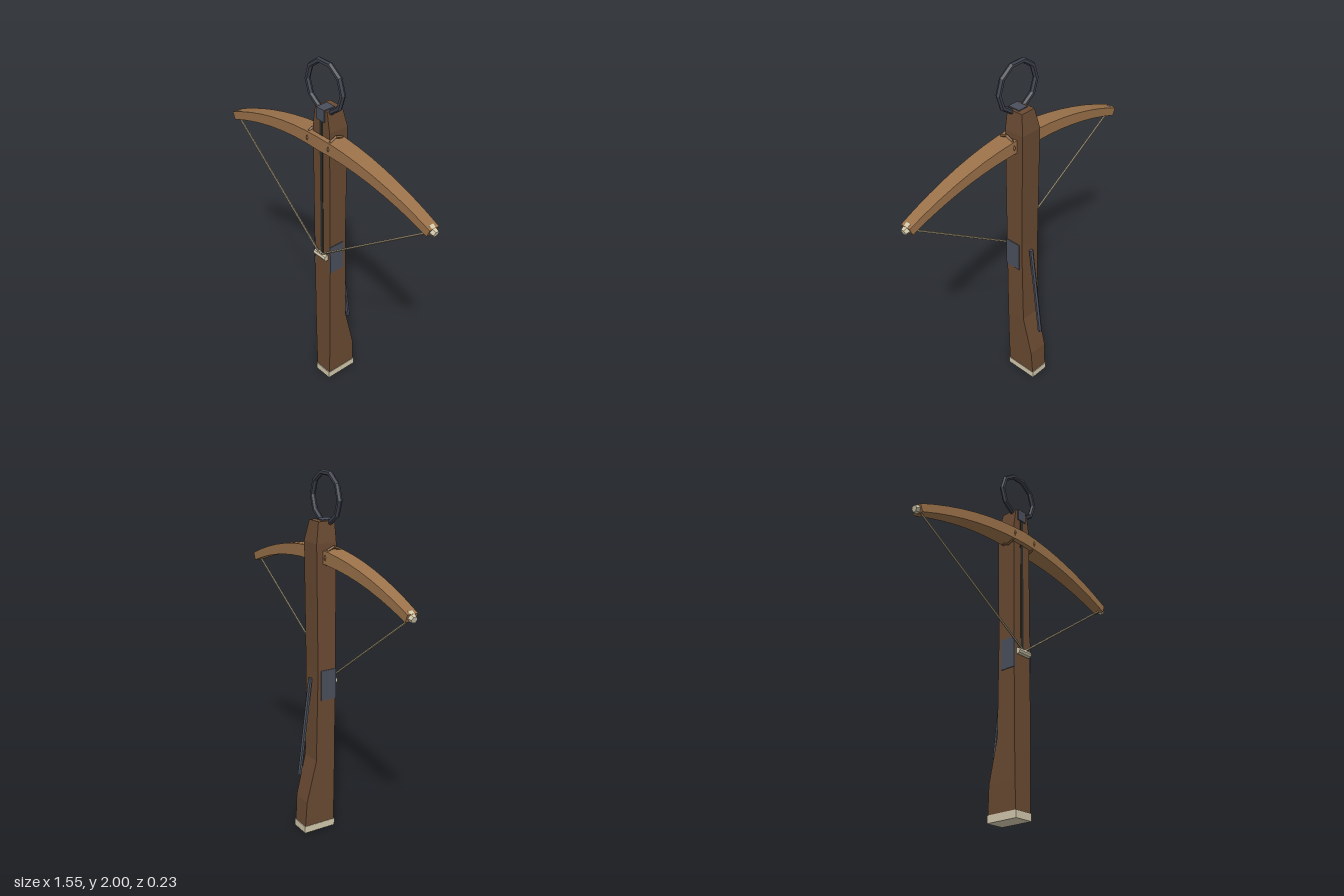
import * as THREE from 'three';

const material = (name, color) => {
  const m = new THREE.MeshStandardMaterial({ color, flatShading: true });
  m.name = name;
  return m;
};

// Skin a row of rectangular cross-sections; each section is four corners, counter-clockwise seen from its far end
function loft(sections) {
  const pos = sections.flat(2), index = [], n = sections.length;
  for (let i = 0; i < n - 1; i++) {
    for (let j = 0; j < 4; j++) {
      const a = i * 4 + j, b = i * 4 + (j + 1) % 4;
      index.push(a, b, b + 4, a, b + 4, a + 4);
    }
  }
  const e = (n - 1) * 4;
  index.push(0, 2, 1, 0, 3, 2, e, e + 1, e + 2, e, e + 2, e + 3);
  const g = new THREE.BufferGeometry();
  g.setAttribute('position', new THREE.Float32BufferAttribute(pos, 3));
  g.setIndex(index);
  const flat = g.toNonIndexed();
  flat.computeVertexNormals();
  return flat;
}

export function createModel() {
  const model = new THREE.Group();
  model.name = 'crossbow';
  const darkWood = material('dark wood', 0x694a32);
  const bowWood = material('bow wood', 0x9b724a);
  const leather = material('leather', 0x85603c);
  const iron = material('iron', 0x4a4f5c);
  const darkIron = material('dark iron', 0x3c404b);
  const bone = material('bone', 0xd2c8ac);
  const cord = material('cord', 0xa2967a);
  const shade = material('groove black', 0x2a2c28);

  const add = (name, geometry, mat, x = 0, y = 0, z = 0) => {
    const mesh = new THREE.Mesh(geometry, mat);
    mesh.name = name;
    mesh.position.set(x, y, z);
    model.add(mesh);
    return mesh;
  };
  const box = (name, mat, w, h, d, x, y, z) => add(name, new THREE.BoxGeometry(w, h, d), mat, x, y, z);
  // Straight rod between two points
  const rod = (name, mat, a, b, r0, r1, sides) => {
    const from = new THREE.Vector3(...a), to = new THREE.Vector3(...b);
    const dir = to.clone().sub(from);
    const mesh = add(name, new THREE.CylinderGeometry(r1, r0, dir.length(), sides), mat);
    mesh.position.copy(from).add(to).multiplyScalar(0.5);
    mesh.quaternion.setFromUnitVectors(new THREE.Vector3(0, 1, 0), dir.normalize());
    return mesh;
  };

  // Stock: height, half width, front z, back z
  const stock = [
    [0.035, 0.054, 0.08, -0.104], [0.19, 0.058, 0.08, -0.095], [0.43, 0.061, 0.08, -0.037],
    [0.95, 0.063, 0.08, -0.028], [1.64, 0.063, 0.08, -0.037], [1.75, 0.045, 0.08, -0.016],
  ];
  add('stock', loft(stock.map(([y, w, f, b]) => [[-w, y, f], [w, y, f], [w, y, b], [-w, y, b]])), darkWood);
  box('buttPlate', bone, 0.113, 0.04, 0.193, 0, 0.02, -0.0115);
  box('boltGroove', shade, 0.02, 0.82, 0.006, 0, 1.29, 0.08);
  box('noseCap', iron, 0.06, 0.066, 0.07, 0, 1.722, 0.052);

  // Stirrup ring
  add('stirrup', new THREE.TorusGeometry(0.13, 0.0145, 6, 10), darkIron, 0, 1.862, 0.055);

  // Bow limbs: rectangular sections swept along a drooping curve
  const curve = (x) => 1.571 - 0.275 * x * x;
  const bow = [];
  for (let i = -8; i <= 8; i++) {
    const x = i / 8 * 0.75, t = Math.abs(i) / 8;
    const h = 0.037 - 0.015 * t, d = 0.054 - 0.024 * t;
    const tilt = Math.atan(-0.55 * x), s = Math.sin(tilt) * h, c = Math.cos(tilt) * h, y = curve(x);
    bow.push([[x + s, y - c, 0.054 - d], [x - s, y + c, 0.054 - d], [x - s, y + c, 0.054 + d], [x + s, y - c, 0.054 + d]]);
  }
  add('bow', loft(bow), bowWood);

  for (const side of [1, -1]) {
    const label = side > 0 ? 'left' : 'right';
    // Lashing round the bow beside the stock
    const lashing = add(label + 'Lashing', new THREE.TorusGeometry(0.051, 0.008, 4, 8), leather, side * 0.08, 1.57, 0.054);
    lashing.rotation.y = Math.PI / 2;
    rod(label + 'BowTip', bone, [side * 0.73, 1.425, 0.054], [side * 0.772, 1.412, 0.054], 0.027, 0.018, 6);
    rod(label + 'String', cord, [side * 0.74, 1.41, 0.058], [0, 0.885, 0.096], 0.006, 0.006, 5);
    box(label + 'LockPlate', iron, 0.008, 0.17, 0.092, side * 0.063, 0.87, 0.036);
  }

  // String nut and long trigger lever
  rod('nut', bone, [-0.046, 0.878, 0.088], [0.046, 0.878, 0.088], 0.018, 0.018, 8);
  rod('triggerLever', iron, [0, 0.9, -0.039], [0, 0.345, -0.109], 0.012, 0.012, 6);

  return model;
}
